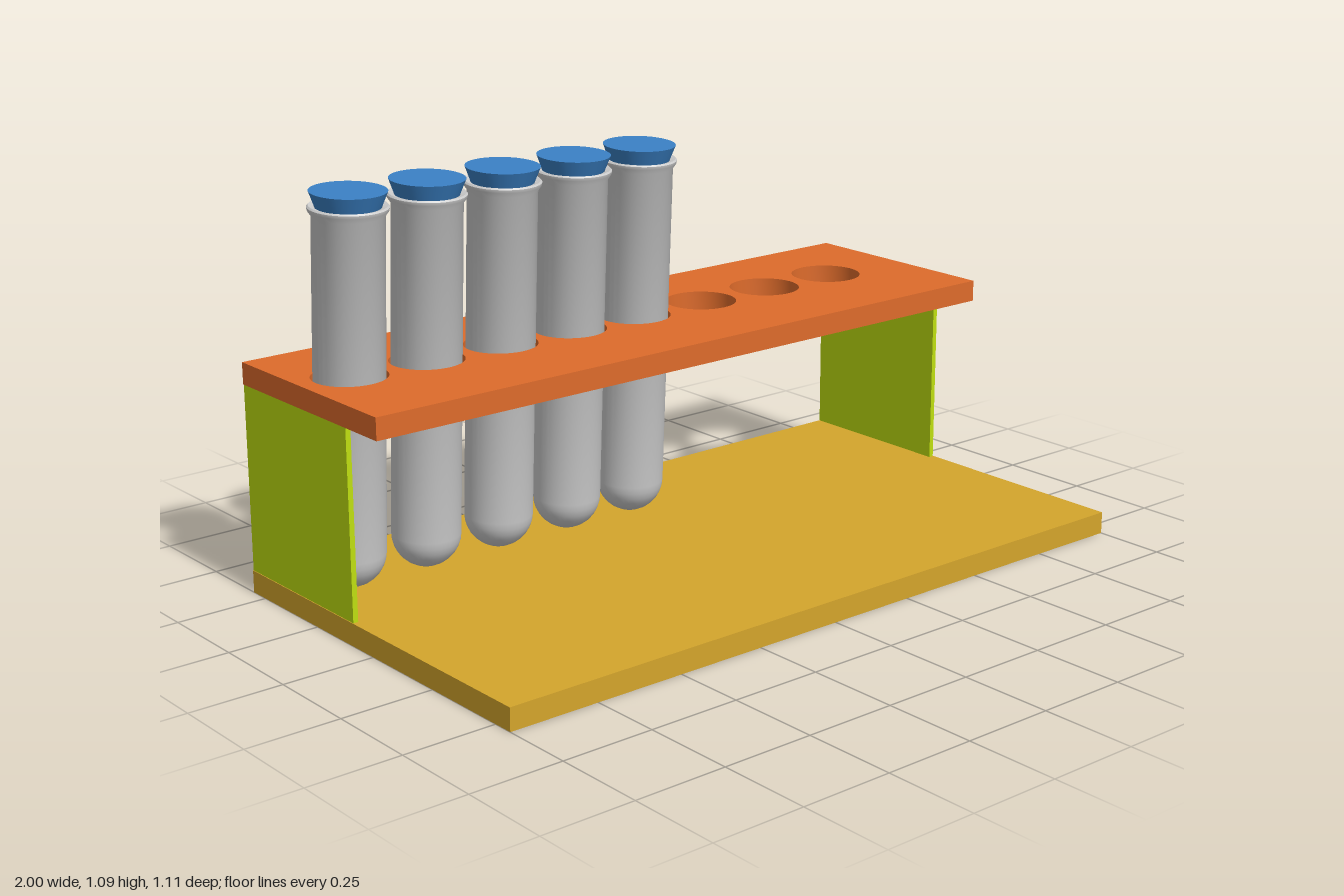
import * as THREE from 'three';
import { toCreasedNormals } from 'three/addons/utils/BufferGeometryUtils.js';

const paint = (color) => new THREE.MeshStandardMaterial({ color });

export function createModel() {
  const model = new THREE.Group();
  const wood = paint(0xd4a52c), orange = paint(0xdd6b2b), lime = paint(0xbfdf10);
  const grey = paint(0xcccccc), blue = paint(0x3a80c4);

  function add(name, geometry, material, parent = model) {
    const mesh = new THREE.Mesh(geometry, material);
    mesh.name = name;
    parent.add(mesh);
    return mesh;
  }

  // Base board
  const baseTop = 0.06, shelfBottom = 0.557, back = -0.556;
  add('base', new THREE.BoxGeometry(2, baseTop, 1.112), wood).position.y = baseTop / 2;

  // Thin side panels
  for (const side of [-1, 1]) {
    const panel = add(side > 0 ? 'leftPanel' : 'rightPanel',
      new THREE.BoxGeometry(0.014, shelfBottom - baseTop, 0.469), lime);
    panel.position.set(side * 0.991, (baseTop + shelfBottom) / 2, back + 0.469 / 2);
  }

  // Shelf with a row of eight holes (shape y is -z)
  const tubeX = [-0.865, -0.637, -0.409, -0.185, 0.032];
  const outline = new THREE.Shape([
    new THREE.Vector2(-1, -0.05), new THREE.Vector2(1, -0.05),
    new THREE.Vector2(1, -back), new THREE.Vector2(-1, -back),
  ]);
  for (const x of [...tubeX.map((t) => t + 0.005), 0.27, 0.503, 0.738]) {
    outline.holes.push(new THREE.Path().absarc(x, 0.28, 0.097, 0, Math.PI * 2, true));
  }
  const shelf = new THREE.ExtrudeGeometry(outline, { depth: 0.058, bevelEnabled: false, curveSegments: 20 });
  shelf.rotateX(-Math.PI / 2);
  add('shelf', toCreasedNormals(shelf, 0.6), orange).position.y = shelfBottom;

  // Tube profile: round bottom, straight wall, flared lip, hollow inside
  const radius = 0.09, inner = 0.082, height = 0.985;
  const profile = [];
  const arc = (r, reverse) => {
    for (let i = 0; i <= 8; i++) {
      const a = ((reverse ? 8 - i : i) / 8) * Math.PI / 2;
      profile.push(new THREE.Vector2(r * Math.sin(a), radius - r * Math.cos(a)));
    }
  };
  arc(radius, false);
  for (const [r, y] of [[radius, height - 0.025], [0.099, height - 0.012], [0.1, height - 0.004],
    [0.096, height], [inner, height - 0.004]]) profile.push(new THREE.Vector2(r, y));
  arc(inner, true);
  const tubeGeometry = toCreasedNormals(new THREE.LatheGeometry(profile, 36), 0.7);

  // Tapered stopper
  const stopperGeometry = new THREE.CylinderGeometry(0.096, 0.075, 0.055, 36);

  // Five stoppered tubes, leaning slightly forward
  tubeX.forEach((x, i) => {
    const tube = new THREE.Group();
    tube.name = `testTube${i + 1}`;
    add('glass', tubeGeometry, grey, tube);
    add('stopper', stopperGeometry, blue, tube).position.y = height + 0.008;
    tube.position.set(x, 0.062, -0.305);
    tube.rotation.set(0.044, 0, -0.009);
    model.add(tube);
  });

  return model;
}
